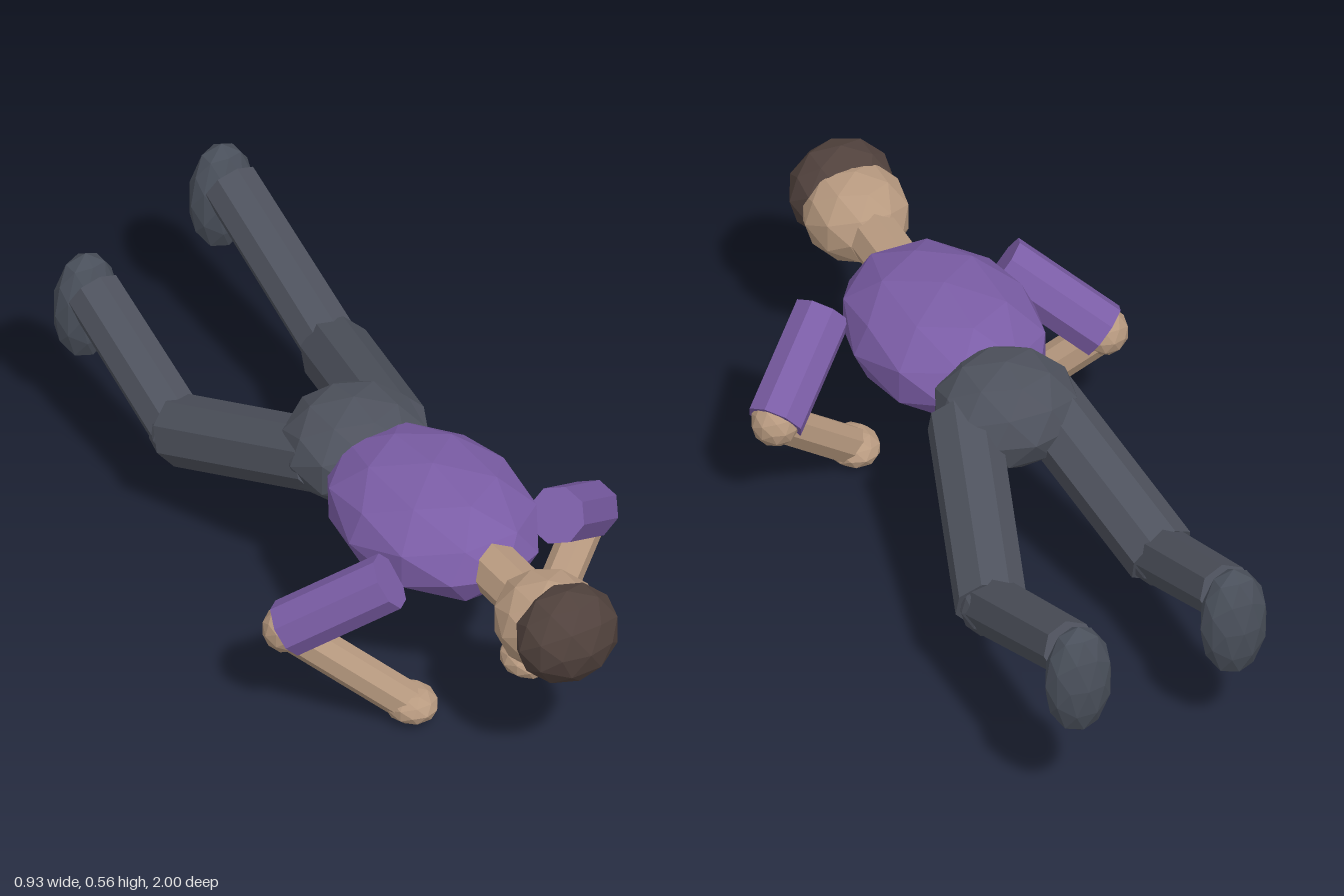
import * as THREE from 'three';

const mat = (name, color) => Object.assign(new THREE.MeshStandardMaterial({ color }), { name });

export function createModel() {
  const skin = mat('skin', 0xb89a80);
  const shirt = mat('purple shirt', 0x7b5da6);
  const trousers = mat('grey trousers', 0x4e525d);
  const shoe = mat('shoe', 0x4a505b);
  const hairMat = mat('brown hair', 0x51423d);
  const eyeMat = mat('dark eye', 0x2a2422);
  const body = new THREE.Group();
  body.name = 'lyingFigure';

  const add = (name, geometry, material) => {
    const flat = geometry.index ? geometry.toNonIndexed() : geometry;
    flat.computeVertexNormals(); // faceted look
    const mesh = new THREE.Mesh(flat, material);
    mesh.name = name;
    body.add(mesh);
    return mesh;
  };

  // Faceted ellipsoid, its long axis turned along z
  const blob = (name, material, [x, y, z], [rx, ry, rz], detail = 1) => {
    const g = new THREE.IcosahedronGeometry(1, detail);
    g.rotateX(Math.PI / 2).scale(rx, ry, rz).translate(x, y, z);
    add(name, g, material);
  };

  // Eight-sided limb between two points
  const limb = (name, material, from, to, r0, r1 = r0) => {
    const a = new THREE.Vector3(...from), b = new THREE.Vector3(...to);
    const dir = b.clone().sub(a);
    const mesh = add(name, new THREE.CylinderGeometry(r1, r0, dir.length(), 8), material);
    mesh.position.copy(a).add(b).multiplyScalar(0.5);
    mesh.quaternion.setFromUnitVectors(new THREE.Vector3(0, 1, 0), dir.normalize());
  };

  // Trunk and head, face down
  blob('torso', shirt, [0, 0.428, 0.335], [0.225, 0.138, 0.305]);
  blob('pelvis', trousers, [-0.01, 0.425, 0.02], [0.172, 0.13, 0.165]);
  limb('neck', skin, [0, 0.433, 0.56], [0, 0.433, 0.76], 0.063);
  blob('head', skin, [0, 0.432, 0.82], [0.125, 0.113, 0.138]);
  blob('hair', hairMat, [0, 0.445, 0.898], [0.128, 0.12, 0.102]);

  // Eyes and arms
  for (const [side, s] of [['left', 1], ['right', -1]]) {
    const elbow = [s * 0.41, 0.28, 0.36];
    const wrist = [s * 0.165, 0.05, 0.485];
    blob(side + 'Eye', eyeMat, [s * 0.043, 0.331, 0.85], [0.016, 0.012, 0.016]);
    limb(side + 'UpperArm', shirt, [s * 0.225, 0.432, 0.505], elbow, 0.068);
    blob(side + 'Elbow', skin, elbow, [0.057, 0.057, 0.057]);
    limb(side + 'Forearm', skin, elbow, wrist, 0.046);
    blob(side + 'Hand', skin, [s * 0.157, 0.046, 0.487], [0.062, 0.043, 0.07]);
  }

  // Legs, bent by different amounts
  const legs = [
    ['left', [0.097, 0.42, 0.02], [0.245, 0.27, -0.455], [0.25, 0.455, -0.9], [0.25, 0.4, -0.94]],
    ['right', [-0.097, 0.42, 0.02], [-0.195, 0.25, -0.42], [-0.19, 0.4, -0.79], [-0.19, 0.345, -0.825]],
  ];
  for (const [side, hip, knee, ankle, foot] of legs) {
    limb(side + 'Thigh', trousers, hip, knee, 0.084);
    blob(side + 'Knee', trousers, knee, [0.074, 0.074, 0.074]);
    limb(side + 'Shin', trousers, knee, ankle, 0.07, 0.067);
    blob(side + 'Foot', shoe, foot, [0.082, 0.146, 0.06]);
  }
  return body;
}
